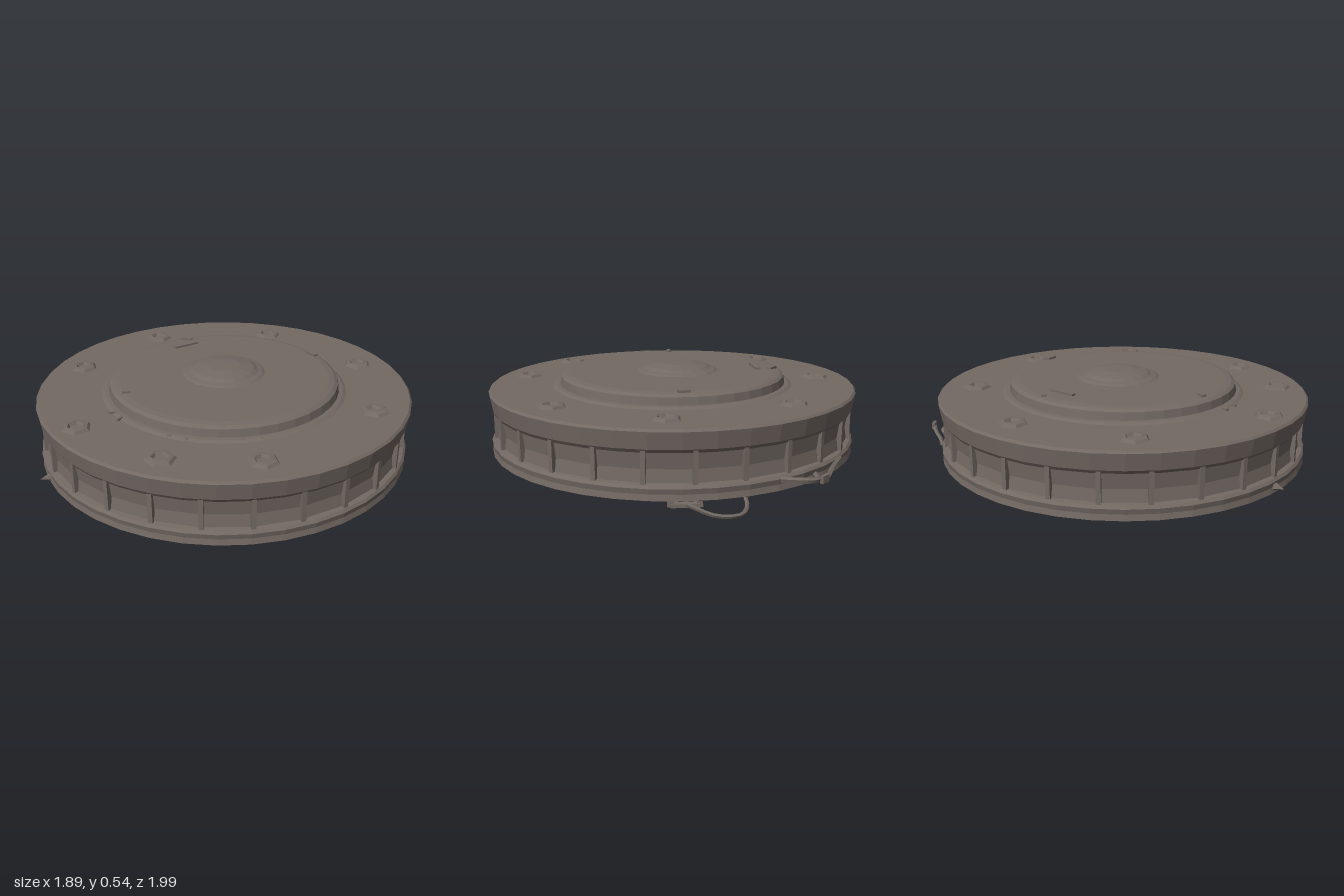
import * as THREE from 'three';

const SEG = 40, R = 0.945;
const V = (x, y, z) => new THREE.Vector3(x, y, z);

export function createModel() {
  const model = new THREE.Group();
  const metal = new THREE.MeshStandardMaterial({ color: 0x736963 });
  metal.name = 'weathered brown metal';
  metal.flatShading = true;

  const disc = new THREE.Group();
  disc.name = 'disc';
  disc.position.z = 0.05;
  model.add(disc);

  const add = (parent, name, geometry, x = 0, y = 0, z = 0) => {
    const m = new THREE.Mesh(geometry, metal);
    m.name = name;
    m.position.set(x, y, z);
    parent.add(m);
    return m;
  };
  const group = (name, x, y, z, turn) => {
    const g = new THREE.Group();
    g.name = name;
    g.position.set(x, y, z);
    g.rotation.y = turn;
    model.add(g);
    return g;
  };
  // profiles run from the bottom axis outwards and up
  const lathe = (pts, seg = SEG) =>
    new THREE.LatheGeometry(pts.map(p => new THREE.Vector2(...p)), seg);

  // main body: lower flange, waist, upper rim
  add(disc, 'lowerFlange', lathe([[0.4, 0.12], [0.925, 0.115], [R - 0.005, 0.122], [0.935, 0.15],
    [R - 0.005, 0.175], [0.93, 0.188], [0.88, 0.195]]));
  add(disc, 'waist', lathe([[0.912, 0.18], [0.902, 0.25], [0.915, 0.345]], 26));
  add(disc, 'upperRim', lathe([[0.88, 0.335], [0.92, 0.328], [0.932, 0.345], [R, 0.425],
    [0.935, 0.436], [0.55, 0.436]]));

  // ribs round the waist
  const RIBS = 26;
  for (let i = 0; i < RIBS; i++) {
    const a = (i / RIBS) * Math.PI * 2;
    const rib = add(disc, 'waistRib', new THREE.BoxGeometry(0.022, 0.155, 0.035),
      Math.sin(a) * 0.908, 0.262, Math.cos(a) * 0.908);
    rib.rotation.y = a;
  }

  // raised hub on top with its central dome
  add(disc, 'hubPlate', lathe([[0.625, 0.434], [0.605, 0.445], [0.585, 0.447], [0.578, 0.485],
    [0.56, 0.496], [0.53, 0.501], [0, 0.503]]));
  add(disc, 'dome', lathe([[0.215, 0.5], [0.2, 0.509], [0.175, 0.514], [0.155, 0.526],
    [0.08, 0.54], [0, 0.541]], 18), -0.01, 0, -0.025);

  // stepped hub underneath
  add(disc, 'lowerHub', lathe([[0, 0.085], [0.23, 0.085], [0.25, 0.072], [0.27, 0.085], [0.37, 0.09],
    [0.4, 0.058], [0.45, 0.055], [0.48, 0.08], [0.53, 0.085], [0.55, 0.105], [0.6, 0.122]]));

  // hollow bolts with a V-shaped fin pointing at the hub
  const bolt = lathe([[0.075, 0], [0.062, 0.014], [0.042, 0.017], [0.032, 0.003], [0, 0.003]], 6);
  const finShape = new THREE.Shape();
  finShape.moveTo(-0.05, 0.0);
  finShape.lineTo(-0.012, -0.15);
  finShape.lineTo(0.012, -0.15);
  finShape.lineTo(0.05, 0.0);
  finShape.lineTo(0.036, 0.0);
  finShape.lineTo(0, -0.12);
  finShape.lineTo(-0.036, 0.0);
  const fin = new THREE.ExtrudeGeometry(finShape, { depth: 0.012, bevelEnabled: false });
  fin.rotateX(-Math.PI / 2);
  const bolts = [[0.59, -0.45], [-0.59, -0.45], [0.78, 0.09], [-0.79, 0.09],
    [0.42, 0.72], [-0.48, 0.72], [0, 0.85], [0, -0.71]];
  bolts.forEach(([x, z]) => {
    const g = group('bolt', x, 0.434, z, Math.atan2(x, z - 0.05));
    add(g, 'boltHead', bolt);
    const f = add(g, 'boltFin', fin, 0, 0, -0.19);
    f.rotation.y = Math.PI;
    f.scale.z = 0.85;
  });

  // scuffed flakes on the hub
  [[-0.33, -0.24, 0.14, 0.9], [-0.36, -0.33, 0.06, 0.1], [0.36, -0.35, 0.06, -0.6],
    [-0.37, 0.42, 0.04, 0.5]].forEach(([x, z, len, turn]) => {
    const f = add(model, 'flake', new THREE.BoxGeometry(len, 0.012, 0.025), x, 0.505, z);
    f.rotation.y = turn;
  });

  // bosses under the front and back
  const boss = new THREE.CylinderGeometry(0.085, 0.06, 0.03, 7);
  add(model, 'lowerBoss', boss, -0.05, 0.108, 0.8);
  add(model, 'lowerBoss', boss, 0.07, 0.108, -0.74);

  // bent brackets under the diagonals
  [[0.53, 0.54, 0.1], [0.52, -0.5, 0.085], [-0.53, -0.5, 0.08], [-0.55, 0.45, 0.08]]
    .forEach(([x, z, drop]) => {
      const g = group('bracket', x, 0.12, z, Math.atan2(x, z));
      add(g, 'bracketPad', new THREE.BoxGeometry(0.2, 0.02, 0.11), 0, -0.01, 0);
      [-1, 1].forEach(s => {
        const leg = add(g, 'bracketLeg', new THREE.BoxGeometry(0.025, drop, 0.07), s * 0.06, -drop / 2, 0);
        leg.rotation.z = s * 0.2;
      });
      add(g, 'bracketFoot', new THREE.BoxGeometry(0.13, 0.018, 0.08), 0, 0.009 - drop, 0);
    });
  const knob = add(model, 'knob', new THREE.CylinderGeometry(0.04, 0.05, 0.13, 8), -0.58, 0.075, 0.44);
  knob.rotation.set(Math.PI / 2, 0, 0.9);

  // loose wires
  const wire = (name, pts, r) => add(model, name,
    new THREE.TubeGeometry(new THREE.CatmullRomCurve3(pts), 12, r, 5));
  wire('lowerWire', [V(0.22, 0.06, -0.58), V(0.3, 0.018, -0.68), V(0.4, 0.01, -0.72),
    V(0.5, 0.02, -0.66), V(0.58, 0.07, -0.56)], 0.01);
  wire('sideWire', [V(-0.48, 0.1, -0.58), V(-0.56, 0.06, -0.5), V(-0.6, 0.05, -0.4), V(-0.65, 0.11, -0.28)], 0.012);
  wire('backWire', [V(-0.17, 0.17, -0.87), V(-0.03, 0.165, -0.915), V(0.08, 0.16, -0.96), V(0.17, 0.175, -0.99)], 0.011);
  add(model, 'backWireTip', new THREE.BoxGeometry(0.05, 0.035, 0.016), 0.15, 0.175, -0.985);
  wire('backHook', [V(0.05, 0.15, -0.87), V(0.12, 0.15, -0.93), V(0.19, 0.16, -0.92), V(0.28, 0.17, -0.84)], 0.014);

  // dented corner on the lower flange
  const dent = add(model, 'flangeDent', new THREE.ConeGeometry(0.035, 0.09, 5), -0.64, 0.15, 0.74);
  dent.rotation.set(Math.PI / 2, 0, 0.75);

  return model;
}
